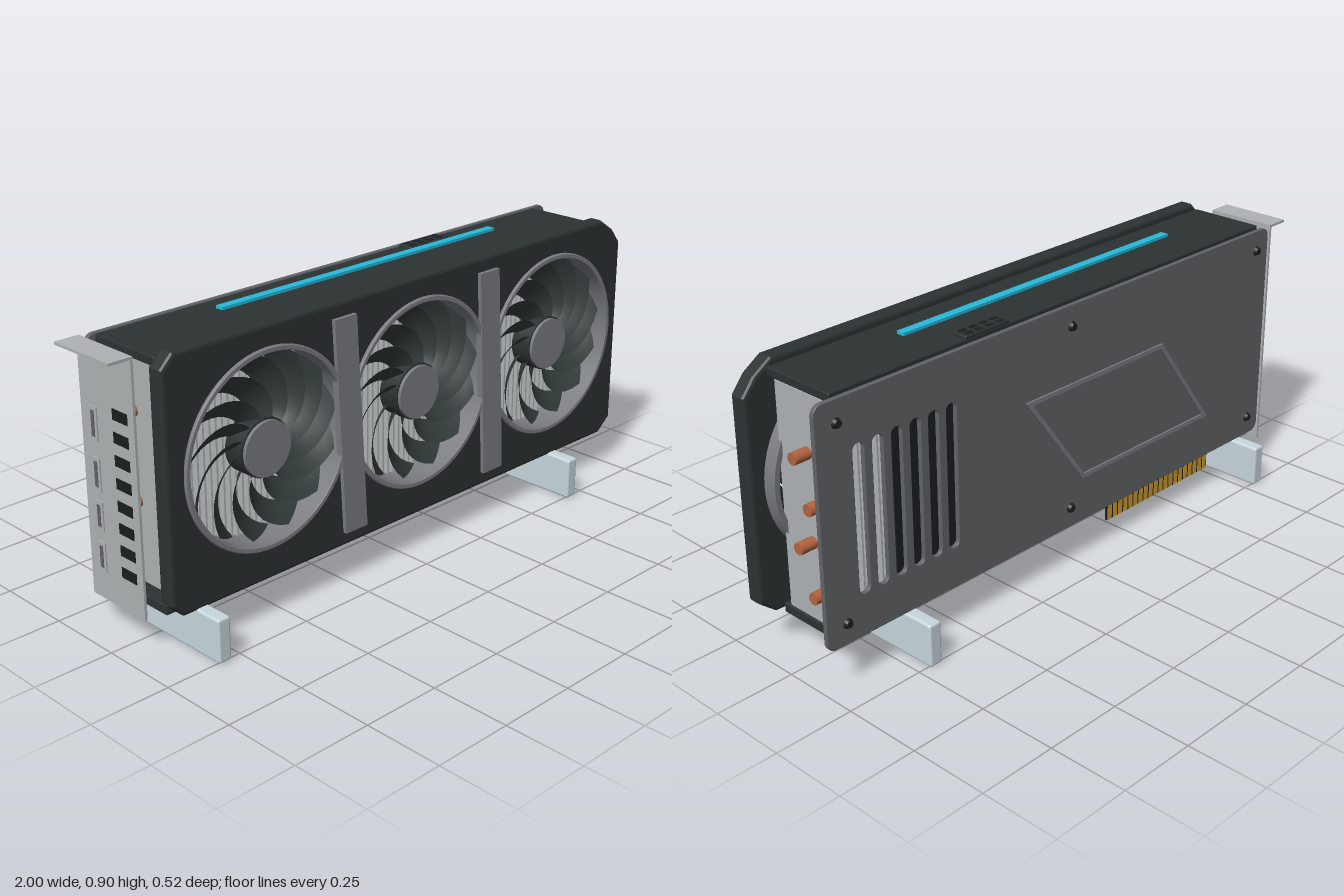
import * as THREE from 'three';
import { toCreasedNormals } from 'three/addons/utils/BufferGeometryUtils.js';
import { RoundedBoxGeometry } from 'three/addons/geometries/RoundedBoxGeometry.js';

const mat = (name, color, side = THREE.FrontSide) => {
  const m = new THREE.MeshStandardMaterial({ color, side });
  m.name = name;
  return m;
};

export function createModel() {
  const M = {
    shroud: mat('charcoal', 0x2c3233),
    blade: mat('bladeGrey', 0x343d3c, THREE.DoubleSide),
    plate: mat('slateGrey', 0x626468),
    trim: mat('trimGrey', 0x7b7d83),
    fin: mat('aluminium', 0xafb3b5),
    copper: mat('copper', 0xb4643f),
    gold: mat('gold', 0xd09c30),
    light: mat('cyan', 0x26bbdc),
    stand: mat('paleBlueGrey', 0xc8d7de),
    black: mat('black', 0x1b1f20),
  };
  const root = new THREE.Group();
  const add = (name, geo, m, parent = root) => {
    const mesh = new THREE.Mesh(geo, m);
    mesh.name = name;
    parent.add(mesh);
    return mesh;
  };
  const group = (name) => {
    const g = new THREE.Group();
    g.name = name;
    root.add(g);
    return g;
  };
  // Box given by its limits on each axis
  const box = (name, [x0, x1], [y0, y1], [z0, z1], m, parent, r = 0) => {
    const s = [x1 - x0, y1 - y0, z1 - z0];
    const geo = r ? new RoundedBoxGeometry(...s, 2, r) : new THREE.BoxGeometry(...s);
    geo.translate((x0 + x1) / 2, (y0 + y1) / 2, (z0 + z1) / 2);
    return add(name, geo, m, parent);
  };
  const poly = (pts) => new THREE.Shape(pts.map((p) => new THREE.Vector2(...p)));
  // Plate from z0 to z1 with an optional bevel kept inside the outline
  const slab = (shape, z0, z1, b = 0) => new THREE.ExtrudeGeometry(shape, {
    depth: z1 - z0 - 2 * b, bevelEnabled: b > 0, bevelSize: b, bevelThickness: b,
    bevelOffset: -b, bevelSegments: 2, curveSegments: 40,
  }).translate(0, 0, z0 + b);
  const roundRect = (S, x0, x1, y0, y1, r) => {
    const s = new S();
    s.absarc(x1 - r, y1 - r, r, 0, Math.PI / 2);
    s.absarc(x0 + r, y1 - r, r, Math.PI / 2, Math.PI);
    s.absarc(x0 + r, y0 + r, r, Math.PI, Math.PI * 1.5);
    s.absarc(x1 - r, y0 + r, r, Math.PI * 1.5, Math.PI * 2);
    s.closePath();
    return s;
  };

  const fanX = [-0.553, 0.05, 0.655], fanY = 0.527;

  // Front shroud with clipped corners and three fan openings
  const face = poly([
    [-0.87, 0.13], [0.945, 0.13], [1, 0.175], [1, 0.8], [0.96, 0.85], [0.9, 0.89],
    [-0.87, 0.89], [-0.91, 0.85], [-0.91, 0.17],
  ]);
  for (const x of fanX) {
    const hole = new THREE.Path();
    hole.absarc(x, fanY, 0.286, 0, Math.PI * 2, true);
    face.holes.push(hole);
  }
  add('frontShroud', slab(face, 0.115, 0.17, 0.01), M.shroud);

  // Upper and lower housing rails
  box('topRail', [-0.89, 0.92], [0.843, 0.87], [-0.137, 0.115], M.shroud, root, 0.004);
  box('bottomRail', [-0.89, 0.92], [0.118, 0.149], [-0.137, 0.115], M.shroud, root, 0.004);

  // Slanted trim bars between the fans
  for (const x of [-0.25, 0.357]) {
    const bar = poly([[x - 0.024, 0.175], [x + 0.063, 0.175], [x + 0.022, 0.845], [x - 0.063, 0.845]]);
    add('trimBar', slab(bar, 0.16, 0.183), M.trim);
  }

  // Fans: ring duct, hub and swept blades
  const ringGeo = toCreasedNormals(new THREE.LatheGeometry(
    [[0.283, 0.07], [0.3, 0.07], [0.3, 0.177], [0.297, 0.18], [0.286, 0.18], [0.283, 0.177], [0.283, 0.07]]
      .map((p) => new THREE.Vector2(...p)), 72).rotateX(Math.PI / 2), 0.5);
  const hubGeo = new THREE.CylinderGeometry(0.088, 0.088, 0.07, 40).rotateX(Math.PI / 2);
  const capGeo = toCreasedNormals(
    new THREE.CylinderGeometry(0.083, 0.083, 0.012, 40).rotateX(Math.PI / 2), 0.5);
  const bladeGeo = new THREE.PlaneGeometry(1, 1, 6, 10);
  const bp = bladeGeo.attributes.position;
  for (let i = 0; i < bp.count; i++) {
    const u = bp.getX(i), t = bp.getY(i) + 0.5;
    const r = 0.08 + 0.197 * t;
    const a = 0.85 * Math.pow(t, 1.4) + u * (0.5 - 0.12 * t);
    bp.setXYZ(i, r * Math.cos(a), r * Math.sin(a), 0.122 - u * 0.055 + 0.012 * (0.25 - u * u));
  }
  bladeGeo.computeVertexNormals();
  const blades = 13;
  for (const x of fanX) {
    const fan = group('fan');
    fan.position.set(x, fanY, 0);
    add('fanRing', ringGeo, M.trim, fan);
    add('fanHub', hubGeo, M.shroud, fan).position.z = 0.12;
    add('hubCap', capGeo, M.trim, fan).position.z = 0.16;
    for (let i = 0; i < blades; i++) {
      add('fanBlade', bladeGeo, M.blade, fan).rotation.z = (i / blades) * Math.PI * 2;
    }
  }

  // Heatsink fins and the heat pipes threaded through them
  const sink = group('heatsink');
  const fins = 80;
  for (let i = 0; i < fins; i++) {
    const x = -0.85 + (1.764 * i) / (fins - 1);
    box('coolingFin', [x, x + 0.006], [0.155, 0.843], [-0.13, 0.083], M.fin, sink);
  }
  for (const [y, z] of [[0.67, -0.037], [0.537, -0.087], [0.402, -0.037], [0.268, -0.087]]) {
    const pipe = new THREE.CylinderGeometry(0.018, 0.018, 1.83, 20).rotateZ(Math.PI / 2);
    add('heatPipe', pipe, M.copper, sink).position.set(0.058, y, z);
  }

  // Circuit board and edge connector, with wide contacts in front and fine ones behind
  box('circuitBoard', [-0.85, 0.72], [0.135, 0.79], [-0.142, -0.132], M.black);
  const edge = group('edgeConnector');
  box('connectorTongue', [-0.67, -0.163], [0.07, 0.14], [-0.141, -0.133], M.black, edge);
  for (const [count, gap, z] of [[10, 0.005, -0.133], [20, 0.007, -0.1425]]) {
    const pitch = 0.507 / count;
    for (let i = 0; i < count; i++) {
      const x = -0.67 + i * pitch + gap / 2;
      box('contact', [x, x + pitch - gap], [0.071, 0.125], [z, z + 0.0015], M.gold, edge);
    }
  }

  // Power socket on the top edge
  const socket = group('powerSocket');
  box('socketBody', [0.265, 0.435], [0.78, 0.879], [-0.136, -0.083], M.shroud, socket, 0.004);
  for (let i = 0; i < 8; i++) {
    const x = 0.29 + (i % 4) * 0.04, z = i < 4 ? -0.122 : -0.098;
    box('socketPin', [x - 0.013, x + 0.013], [0.876, 0.88], [z - 0.008, z + 0.008], M.black, socket);
  }

  // Light strip above the top rail
  box('lightStrip', [-0.56, 0.565], [0.889, 0.898], [-0.03, -0.003], M.light);

  // Backplate with vent slots, raised parallelogram frame and screws
  const back = roundRect(THREE.Shape, -0.91, 0.997, 0.14, 0.867, 0.03);
  for (let i = 0; i < 6; i++) {
    const x = 0.857 - i * 0.0665;
    back.holes.push(roundRect(THREE.Path, x - 0.019, x + 0.019, 0.27, 0.72, 0.018));
  }
  add('backplate', slab(back, -0.167, -0.152, 0.002), M.plate);
  const frame = poly([[-0.62, 0.29], [-0.01, 0.29], [0.235, 0.62], [-0.375, 0.62]]);
  frame.holes.push(poly([[-0.592, 0.304], [-0.017, 0.304], [0.207, 0.606], [-0.368, 0.606]]));
  add('backFrame', slab(frame, -0.173, -0.166), M.trim);
  const screwGeo = toCreasedNormals(
    new THREE.CylinderGeometry(0.016, 0.011, 0.011, 20).rotateX(Math.PI / 2), 0.5);
  for (const x of [-0.85, 0.038, 0.925]) {
    for (const y of [0.205, 0.8]) add('backScrew', screwGeo, M.black).position.set(x, y, -0.172);
  }

  // Mounting bracket with folded tab, vents and ports
  const bracket = group('mountingBracket');
  box('bracketPlate', [-0.93, -0.922], [0.1, 0.867], [-0.165, 0.07], M.fin, bracket);
  box('bracketTab', [-1, -0.922], [0.861, 0.869], [-0.165, 0.07], M.fin, bracket);
  for (let i = 0; i < 8; i++) {
    const y = 0.217 + i * 0.067;
    box('bracketVent', [-0.932, -0.921], [y - 0.016, y + 0.016], [-0.022, 0.043], M.black, bracket);
  }
  for (const [y, h] of [[0.635, 0.1], [0.485, 0.1], [0.36, 0.09], [0.235, 0.09]]) {
    box('port', [-0.934, -0.87], [y - h / 2, y + h / 2], [-0.125, -0.092], M.fin, bracket);
    box('portOpening', [-0.936, -0.933], [y - h / 2 + 0.012, y + h / 2 - 0.012], [-0.115, -0.102], M.plate, bracket);
  }

  // Two support feet
  for (const x of [-0.807, 0.692]) {
    box('supportFoot', [x - 0.022, x + 0.022], [0, 0.136], [-0.26, 0.26], M.stand, root, 0.008);
  }
  return root;
}
